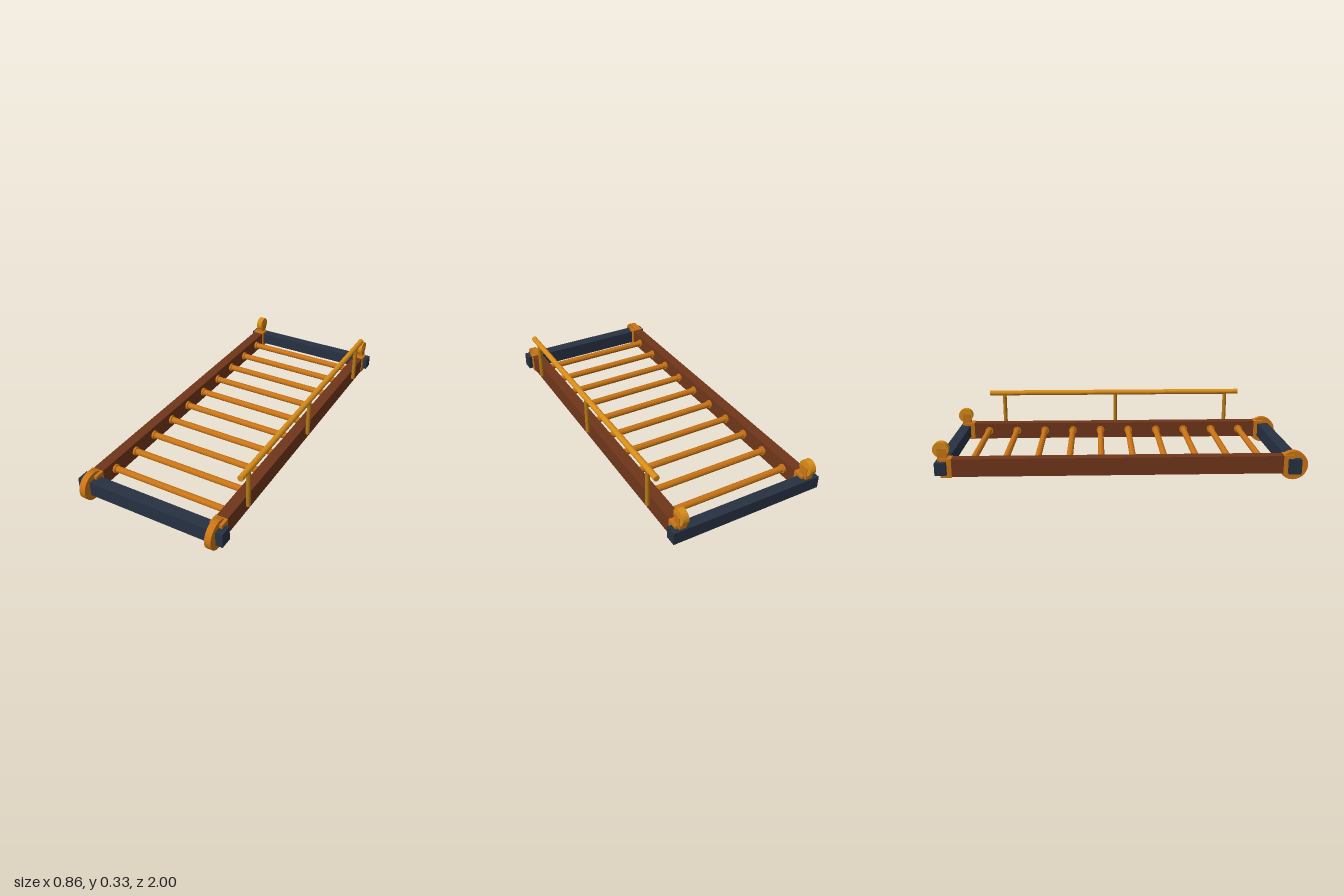
import * as THREE from 'three';

const mat = (color) => new THREE.MeshStandardMaterial({ color, flatShading: true });

export function createModel() {
  const model = new THREE.Group();
  const wood = mat(0x70361a), slate = mat(0x273142), amber = mat(0xc97415);
  const brass = mat(0xb87a16), gold = mat(0xd88c18);
  const cx = -0.003; // the frame sits slightly off centre because of the handrail

  function add(name, geometry, material, x, y, z) {
    const mesh = new THREE.Mesh(geometry, material);
    mesh.name = name;
    mesh.position.set(x, y, z);
    model.add(mesh);
    return mesh;
  }
  const box = (name, m, w, h, d, x, y, z) => add(name, new THREE.BoxGeometry(w, h, d), m, x, y, z);
  function rod(name, m, r, length, axis, x, y, z, sides = 12) {
    const g = new THREE.CylinderGeometry(r, r, length, sides);
    if (axis === 'x') g.rotateZ(Math.PI / 2);
    if (axis === 'z') g.rotateX(Math.PI / 2);
    return add(name, g, m, x, y, z);
  }

  // Cross beams at both ends
  box('frontBeam', slate, 0.855, 0.08, 0.068, cx, 0.082, 0.922);
  box('backBeam', slate, 0.855, 0.068, 0.06, cx, 0.09, -0.957);

  for (const side of [-1, 1]) {
    const label = side > 0 ? 'left' : 'right';
    const x = cx + side * 0.371;

    // Side rail with a bracket at each end
    box(label + 'SideRail', wood, 0.06, 0.097, 1.84, x, 0.0885, -0.015);
    box(label + 'FrontBracket', amber, 0.068, 0.103, 0.055, x, 0.0885, 0.892);
    box(label + 'BackBracket', amber, 0.068, 0.103, 0.06, x, 0.0885, -0.932);

    // Round foot around the front beam
    rod(label + 'FrontFoot', amber, 0.079, 0.035, 'x', x, 0.08, 0.921, 24);

    // Upright hook with a round head at the back
    box(label + 'HookStem', amber, 0.042, 0.105, 0.05, x, 0.1405, -0.951);
    rod(label + 'HookHead', gold, 0.043, 0.035, 'x', x, 0.186, -0.957, 20);
  }

  // Rungs with a collar where they meet the rails
  for (let i = 0; i < 10; i++) {
    const z = -0.812 + i * 0.1752;
    rod('rung', amber, 0.018, 0.69, 'x', cx, 0.09, z);
    for (const side of [-1, 1]) rod('rungCollar', amber, 0.025, 0.014, 'x', cx + side * 0.336, 0.09, z);
  }

  // Handrail on three posts
  rod('handrail', gold, 0.016, 1.572, 'z', 0.413, 0.317, -0.02, 16);
  for (const z of [0.684, -0.016, -0.716]) rod('handrailPost', brass, 0.012, 0.227, 'y', 0.413, 0.2035, z);

  return model;
}
